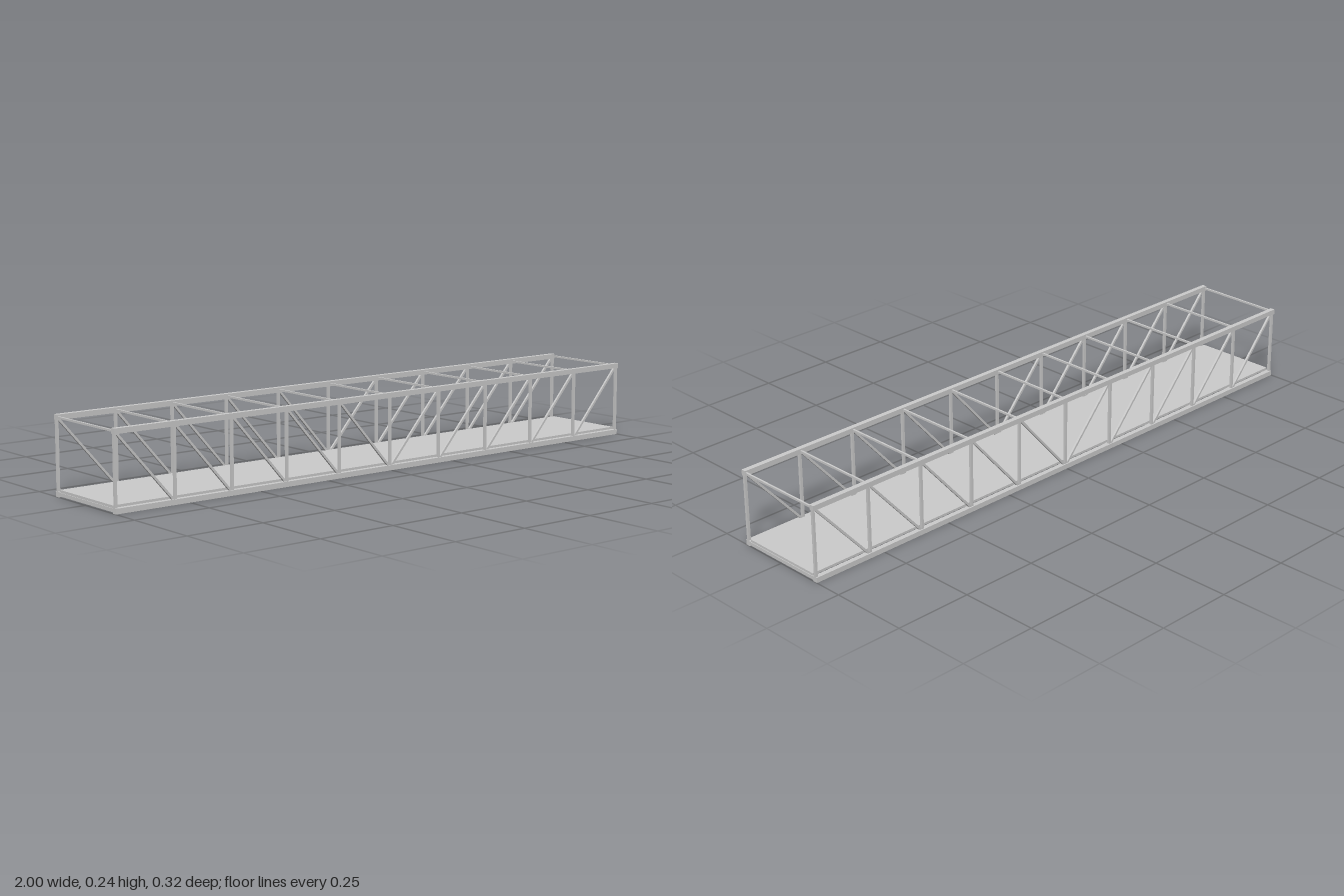
import * as THREE from 'three';

export function createModel() {
  const model = new THREE.Group();
  const material = new THREE.MeshStandardMaterial({ color: 0xcccccc });

  const bays = 10, endX = 0.996, pitch = (2 * endX) / bays;
  const sideZ = 0.15, lowY = 0.008, highY = 0.233;

  function box(name, size, position) {
    const mesh = new THREE.Mesh(new THREE.BoxGeometry(...size), material);
    mesh.name = name;
    mesh.position.set(...position);
    model.add(mesh);
    return mesh;
  }

  // Four long corner chords
  for (const z of [-sideZ, sideZ]) {
    box('bottomChord', [2, 0.016, 0.016], [0, lowY, z]);
    box('topChord', [2, 0.016, 0.016], [0, highY, z]);
  }

  // Posts and cross beams at every node
  for (let i = 0; i <= bays; i++) {
    const x = -endX + i * pitch;
    for (const z of [-sideZ, sideZ]) {
      box('post', [0.008, highY - lowY, 0.008], [x, (lowY + highY) / 2, z]);
    }
    box('floorBeam', [0.008, 0.011, 2 * sideZ], [x, 0.0095, 0]);
    box('topStrut', [0.006, 0.006, 2 * sideZ], [x, highY, 0]);
  }

  // Diagonals fall towards the middle of the span
  const rise = highY - lowY;
  const length = Math.hypot(pitch, rise);
  for (let i = 0; i < bays; i++) {
    const x = -endX + (i + 0.5) * pitch;
    for (const z of [-sideZ, sideZ]) {
      const brace = box('diagonal', [length, 0.007, 0.007], [x, (lowY + highY) / 2, z]);
      brace.rotation.z = Math.sign(x) * Math.atan2(rise, pitch);
    }
  }

  // Walkway deck resting on the floor beams
  box('deck', [1.996, 0.0075, 0.278], [0, 0.01875, 0]);

  return model;
}
